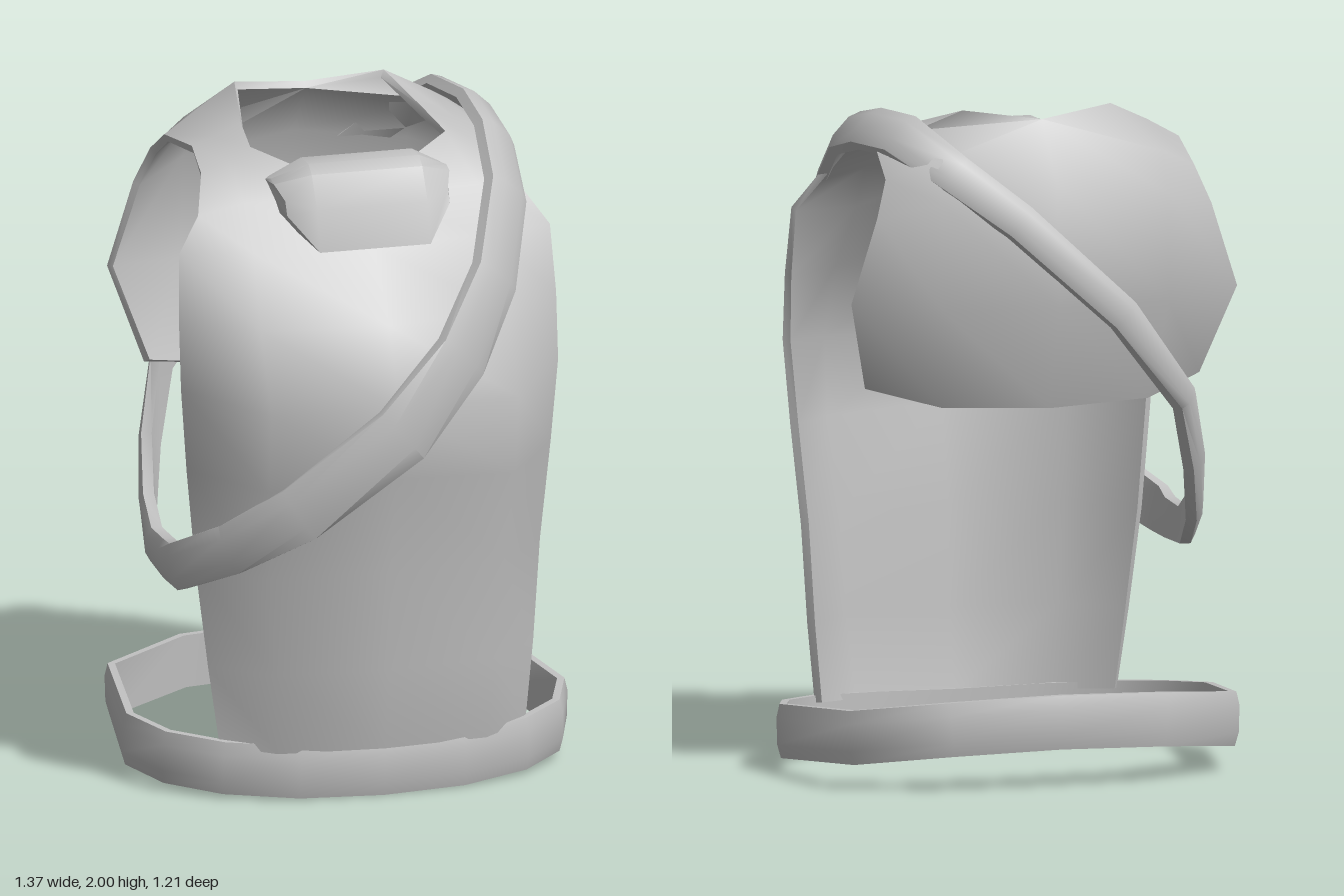
import * as THREE from 'three';
import { mergeVertices, toCreasedNormals } from 'three/addons/utils/BufferGeometryUtils.js';

const V = (p) => new THREE.Vector3(...p);

function makeGeometry(points, index) {
  const g = new THREE.BufferGeometry();
  g.setAttribute('position', new THREE.Float32BufferAttribute(points.flatMap((p) => [p.x, p.y, p.z]), 3));
  g.setIndex(index);
  return g;
}

// Closed strap swept through stations [x, y, z, width]; flat inside, rounded outside
function strap(stations, thickness, outward) {
  const profile = [[0.5, -0.4], [0.5, 0.25], [0.25, 0.55], [-0.25, 0.55], [-0.5, 0.25], [-0.5, -0.4]];
  const n = stations.length, m = profile.length;
  const centres = stations.map((s) => V(s.slice(0, 3)));
  const pts = [], idx = [];
  centres.forEach((c, i) => {
    const t = centres[(i + 1) % n].clone().sub(centres[(i + n - 1) % n]).normalize();
    const out = outward(c);
    out.addScaledVector(t, -out.dot(t)).normalize();
    const side = out.clone().cross(t);
    for (const [s, o] of profile) {
      pts.push(c.clone().addScaledVector(side, s * stations[i][3]).addScaledVector(out, o * thickness));
    }
    for (let j = 0; j < m; j++) {
      const a = i * m + j, b = i * m + (j + 1) % m;
      const d = ((i + 1) % n) * m + j, e = ((i + 1) % n) * m + (j + 1) % m;
      idx.push(a, b, d, b, e, d);
    }
  });
  return toCreasedNormals(makeGeometry(pts, idx), 1.0);
}

// Vest cloth: half rows [outer, middle, inner], from front hem over the shoulders to back hem
function vestGeometry() {
  const front = [
    [[0.47, 0.16, 0.28], [0.32, 0.15, 0.38], [0, 0.15, 0.41]],
    [[0.50, 0.40, 0.26], [0.34, 0.40, 0.42], [0, 0.40, 0.45]],
    [[0.53, 0.70, 0.23], [0.36, 0.70, 0.43], [0, 0.70, 0.46]],
    [[0.56, 1.00, 0.24], [0.38, 0.98, 0.48], [0, 1.00, 0.52]],
    [[0.58, 1.25, 0.25], [0.38, 1.22, 0.51], [0, 1.22, 0.55]],
    [[0.58, 1.45, 0.23], [0.38, 1.45, 0.40], [0, 1.45, 0.45]],
    [[0.57, 1.65, 0.20], [0.36, 1.65, 0.26], [0, 1.65, 0.29]],
    [[0.50, 1.75, 0.16], [0.36, 1.78, 0.17], [0, 1.78, 0.18]],
  ];
  const shouldersAndBack = [
    [[0.46, 1.85, 0.06], [0.38, 1.88, 0.05], [0.30, 1.91, 0.03]],
    [[0.44, 1.89, -0.10], [0.37, 1.91, -0.11], [0.28, 1.94, -0.13]],
    [[0.47, 1.88, -0.28], [0.36, 1.94, -0.31], [0.23, 2.00, -0.36]],
    [[0.48, 1.81, -0.39], [0.35, 1.87, -0.48], [0, 1.97, -0.41]],
    [[0.52, 1.70, -0.43], [0.35, 1.75, -0.53], [0, 1.80, -0.54]],
    [[0.60, 1.45, -0.43], [0.35, 1.43, -0.54], [0, 1.43, -0.565]],
    [[0.52, 1.18, -0.32], [0.32, 1.13, -0.44], [0, 1.12, -0.48]],
  ];
  const pts = [], idx = [];
  const rows = [...front, ...shouldersAndBack];
  rows.forEach((row, r) => {
    row.forEach(([x, y, z]) => pts.push(V([-x, y, z])));
    [...row].reverse().forEach((p) => pts.push(V(p)));
    if (r === rows.length - 1) return;
    for (const c of [0, 1, 3, 4]) {
      const a = r * 6 + c, d = a + 6;
      idx.push(a, a + 1, d, a + 1, d + 1, d);
    }
  });
  const skin = mergeVertices(makeGeometry(pts, idx));
  skin.computeVertexNormals();

  // Give the cloth thickness: inner copy plus a rim along every open edge
  const pos = skin.attributes.position, nor = skin.attributes.normal, tri = skin.index.array;
  const outer = [], inner = [];
  for (let i = 0; i < pos.count; i++) {
    const p = new THREE.Vector3().fromBufferAttribute(pos, i);
    outer.push(p);
    inner.push(p.clone().addScaledVector(new THREE.Vector3().fromBufferAttribute(nor, i), -0.025));
  }
  const all = [...outer, ...inner], faces = [], n = outer.length;
  const edges = new Set();
  for (let i = 0; i < tri.length; i += 3) {
    const t = [tri[i], tri[i + 1], tri[i + 2]];
    faces.push(...t, t[0] + n, t[2] + n, t[1] + n);
    t.forEach((v, k) => edges.add(v + '_' + t[(k + 1) % 3]));
  }
  for (const e of edges) {
    const [a, b] = e.split('_').map(Number);
    if (a !== b && !edges.has(b + '_' + a)) faces.push(a, a + n, b, b, a + n, b + n);
  }
  return toCreasedNormals(makeGeometry(all, faces), 1.0);
}

// Rounded pad with bevelled ends: sections [x, y, z] lofted from right to left
function padGeometry() {
  const end = [[0.28, 1.83, 0.10], [0.27, 1.84, 0.14], [0.27, 1.83, 0.17],
    [0.25, 1.79, 0.22], [0.25, 1.75, 0.24], [0.27, 1.75, 0.16]];
  const mid = [[0.17, 1.89, 0.115], [0.17, 1.89, 0.19], [0.17, 1.865, 0.225],
    [0.17, 1.77, 0.28], [0.17, 1.65, 0.31], [0.17, 1.65, 0.22]];
  const mirror = (sec) => sec.map(([x, y, z]) => [-x, y, z]);
  const m = mid.length, pts = [], idx = [];
  [mirror(end), mirror(mid), mid, end].forEach((sec, i) => {
    sec.forEach((p) => pts.push(V(p)));
    if (i === 3) return;
    for (let j = 0; j < m; j++) {
      const a = i * m + j, b = i * m + (j + 1) % m;
      idx.push(a, b, a + m, b, b + m, a + m);
    }
  });
  for (let j = 1; j < m - 1; j++) idx.push(0, j + 1, j, 3 * m, 3 * m + j, 3 * m + j + 1);
  return toCreasedNormals(makeGeometry(pts, idx), 0.65);
}

export function createModel() {
  const group = new THREE.Group();
  const grey = new THREE.MeshStandardMaterial({ color: 0xc0c0c0 });
  grey.name = 'grey cloth';
  const add = (name, geometry) => {
    const mesh = new THREE.Mesh(geometry, grey);
    mesh.name = name;
    group.add(mesh);
  };

  add('vest', vestGeometry());
  add('collarPad', padGeometry());

  // Sash from right hip across the chest, over the left shoulder and down the back
  add('sash', strap([
    [-0.58, 0.70, 0.21, 0.14], [-0.47, 0.79, 0.39, 0.15], [-0.30, 0.92, 0.53, 0.17],
    [0, 1.15, 0.58, 0.19], [0.20, 1.36, 0.525, 0.19], [0.34, 1.56, 0.40, 0.18],
    [0.43, 1.77, 0.22, 0.17], [0.45, 1.89, 0.04, 0.15], [0.45, 1.93, -0.15, 0.14],
    [0.41, 1.93, -0.33, 0.14], [0.30, 1.83, -0.50, 0.12], [0.12, 1.69, -0.56, 0.11],
    [-0.20, 1.40, -0.57, 0.10], [-0.42, 1.13, -0.48, 0.09], [-0.49, 0.93, -0.36, 0.10],
    [-0.53, 0.77, -0.24, 0.10], [-0.56, 0.69, -0.08, 0.11], [-0.57, 0.69, 0.08, 0.12],
  ], 0.05, (p) => new THREE.Vector3(p.x, Math.max(0, p.y - 1.4), p.z)));

  // Tilted belt, mirrored from its left half
  const half = [
    [0.25, 0.09, 0.375], [0.46, 0.10, 0.30], [0.60, 0.11, 0.17],
    [0.665, 0.125, 0], [0.59, 0.16, -0.42], [0.33, 0.19, -0.555],
  ];
  const belt = [
    [0, 0.085, 0.39], ...half, [0, 0.2, -0.58],
    ...half.map(([x, y, z]) => [-x, y, z]).reverse(),
  ].map((p) => [...p, 0.16]);
  add('belt', strap(belt, 0.035, (p) => new THREE.Vector3(p.x, 0, p.z)));

  return group;
}
